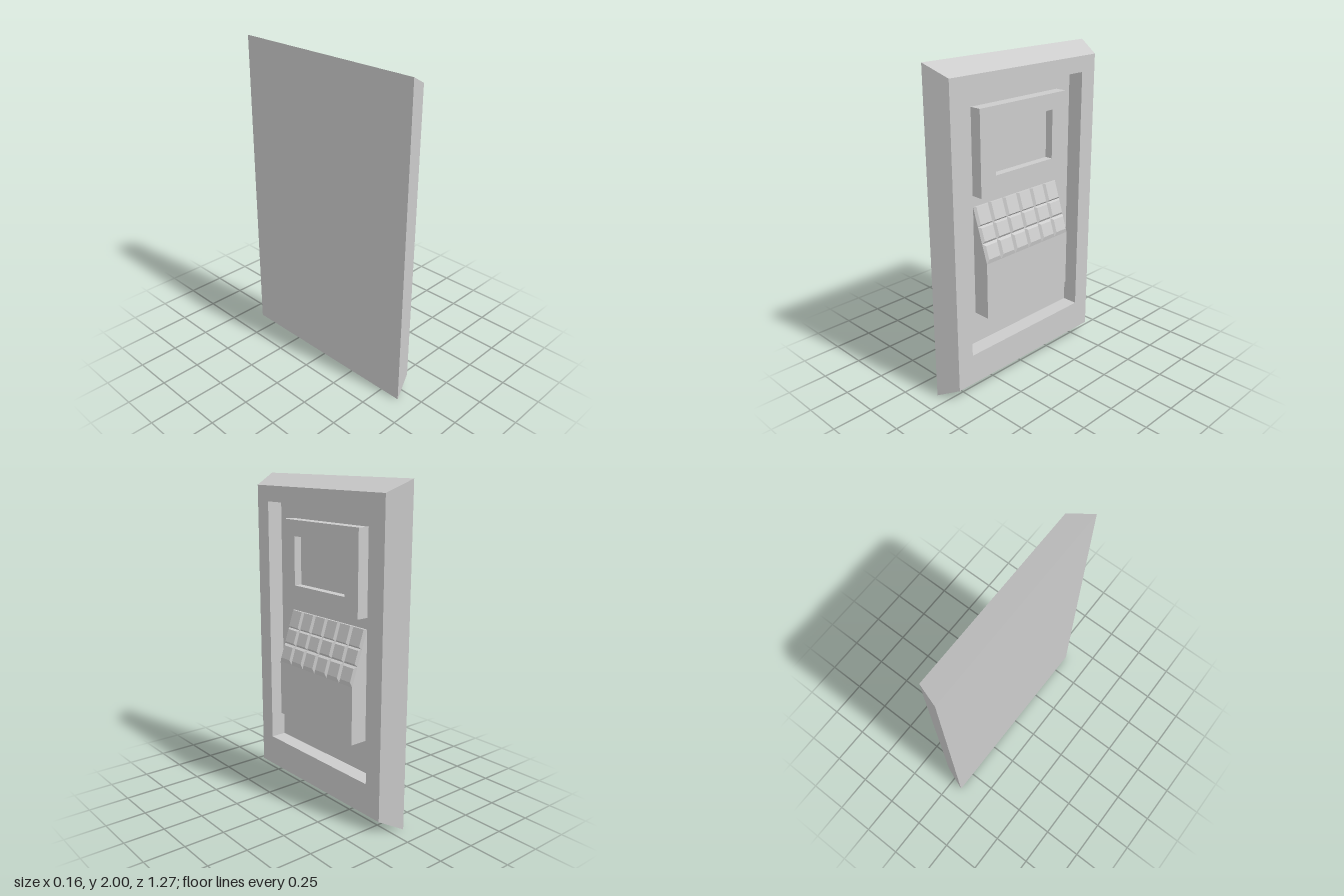
import * as THREE from 'three';

const FLOOR = -0.035; // depth of the recessed panel
const material = new THREE.MeshStandardMaterial({ color: 0xcccccc, flatShading: true });

// Joins rectangular rings [x, yMin, yMax, zMin, zMax] into one closed shell;
// x is a number or a function of y. The rings run from back to front, then inward.
function ringShell(name, rings) {
  const loops = rings.map(([x, y0, y1, z0, z1]) => {
    const at = (y, z) => [typeof x === 'function' ? x(y) : x, y, z];
    return [at(y0, z1), at(y0, z0), at(y1, z0), at(y1, z1)];
  });
  const pos = [];
  const quad = (a, b, c, d) => pos.push(...a, ...b, ...c, ...a, ...c, ...d);
  for (let r = 0; r < loops.length - 1; r++) {
    const a = loops[r], b = loops[r + 1];
    for (let i = 0; i < 4; i++) {
      const j = (i + 1) % 4;
      quad(a[i], a[j], b[j], b[i]);
    }
  }
  quad(...[...loops[0]].reverse());
  quad(...loops[loops.length - 1]);
  const geometry = new THREE.BufferGeometry();
  geometry.setAttribute('position', new THREE.Float32BufferAttribute(pos, 3));
  geometry.computeVertexNormals();
  const mesh = new THREE.Mesh(geometry, material);
  mesh.name = name;
  return mesh;
}

export function createModel() {
  const model = new THREE.Group();
  model.name = 'wallTerminal';

  // Bevelled frame with a sunken panel
  model.add(ringShell('frame', [
    [-0.083, 0, 2, -0.633, 0.633],
    [0.065, 0.075, 1.93, -0.58, 0.58],
    [0.065, 0.27, 1.833, -0.465, 0.47],
    [FLOOR, 0.27, 1.833, -0.465, 0.47],
  ]));

  // Raised screen housing with the screen set back inside it
  model.add(ringShell('screenHousing', [
    [FLOOR, 1.223, 1.735, -0.347, 0.35],
    [0.038, 1.223, 1.735, -0.347, 0.35],
    [0.038, 1.335, 1.637, -0.233, 0.237],
    [-0.012, 1.335, 1.637, -0.233, 0.237],
  ]));

  // Console block with a sloped top
  const slopeLow = 0.83, slopeHigh = 1.155, front = 0.074;
  model.add(ringShell('console', [
    [FLOOR, 0.475, slopeHigh, -0.347, 0.35],
    [front, 0.475, slopeLow, -0.347, 0.35],
  ]));

  // Bevelled keys on the slope: [base low, base high, top low, top high]
  const slope = (y) => front + (FLOOR - front) * (y - slopeLow) / (slopeHigh - slopeLow);
  const raised = (y) => slope(y) + 0.014;
  const rows = [
    [0.83, 0.945, 0.858, 0.935],
    [0.945, 1.043, 0.96, 1.036],
    [1.043, 1.155, 1.055, 1.155],
  ];
  const keys = new THREE.Group();
  keys.name = 'keyboard';
  const pitch = 0.697 / 6, bevel = 0.014;
  for (const [b0, b1, t0, t1] of rows) {
    for (let c = 0; c < 6; c++) {
      const z0 = -0.347 + c * pitch, z1 = z0 + pitch;
      keys.add(ringShell('key', [
        [slope, b0, b1, z0, z1],
        [raised, t0, t1, z0 + bevel, z1 - bevel],
      ]));
    }
  }
  model.add(keys);
  return model;
}
